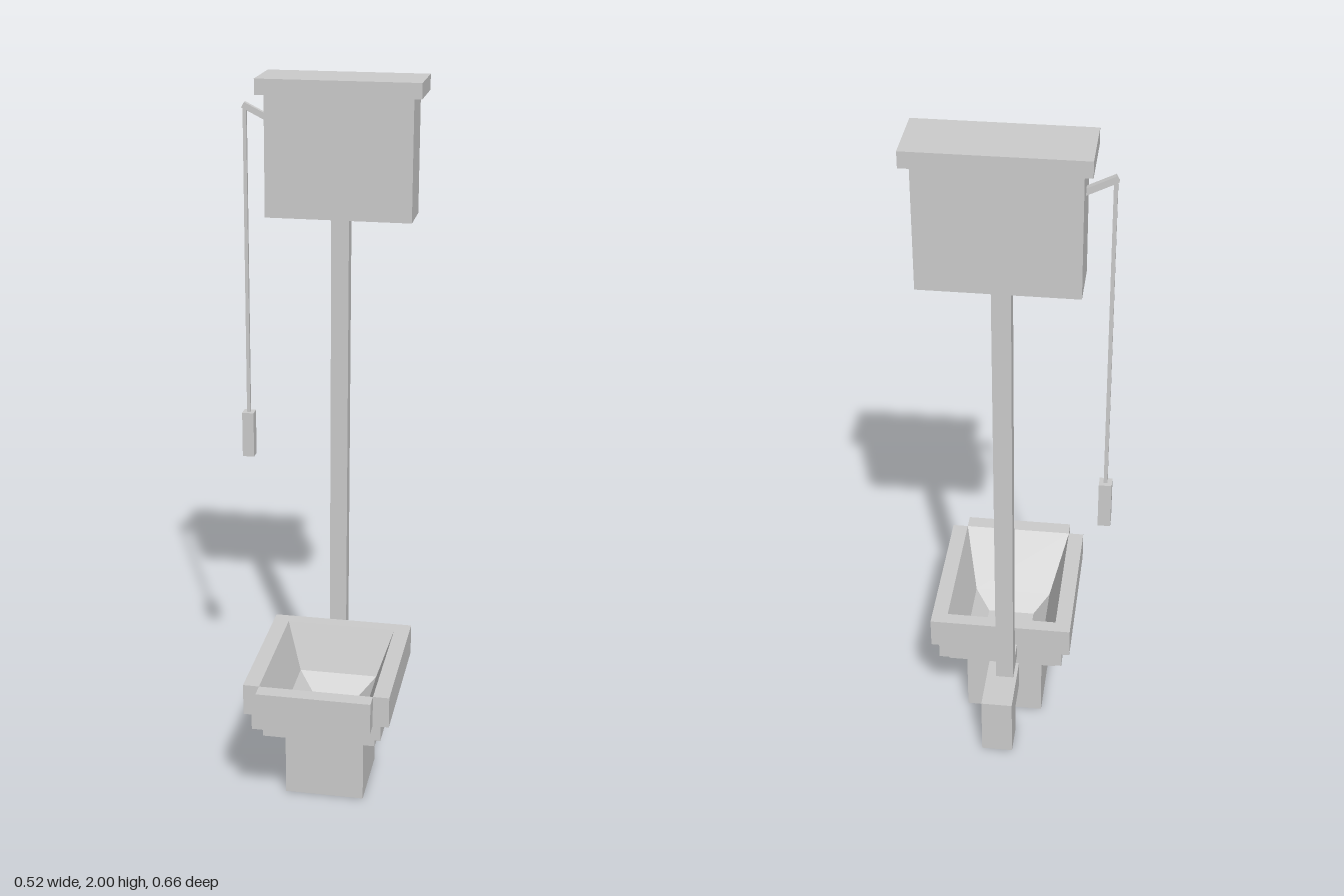
import * as THREE from 'three';

const material = new THREE.MeshStandardMaterial({ color: 0xcccccc, flatShading: true });

function add(group, name, geometry) {
  const mesh = new THREE.Mesh(geometry, material);
  mesh.name = name;
  group.add(mesh);
  return mesh;
}

// Box given by its extents on each axis
function box(group, name, [x0, x1], [y0, y1], [z0, z1]) {
  const mesh = add(group, name, new THREE.BoxGeometry(x1 - x0, y1 - y0, z1 - z0));
  mesh.position.set((x0 + x1) / 2, (y0 + y1) / 2, (z0 + z1) / 2);
  return mesh;
}

// Skin over a run of rectangles, each { w: half width, z: [back, front], y }, centred on x = cx
function loft(cx, rings, { capStart = false, capEnd = false } = {}) {
  const corners = rings.map(({ w, z, y }) => [
    [cx - w, y, z[0]], [cx - w, y, z[1]], [cx + w, y, z[1]], [cx + w, y, z[0]],
  ]);
  const pos = [];
  const quad = (a, b, c, d) => pos.push(...a, ...b, ...c, ...a, ...c, ...d);
  for (let r = 0; r < corners.length - 1; r++) {
    const a = corners[r], b = corners[r + 1];
    for (let i = 0; i < 4; i++) {
      const j = (i + 1) % 4;
      quad(a[i], a[j], b[j], b[i]);
    }
  }
  if (capStart) quad(...[...corners[0]].reverse());
  if (capEnd) quad(...corners[corners.length - 1]);
  const g = new THREE.BufferGeometry();
  g.setAttribute('position', new THREE.Float32BufferAttribute(pos, 3));
  g.computeVertexNormals();
  return g;
}

export function createModel() {
  const root = new THREE.Group();
  root.name = 'highTankToilet';

  // Bowl: pedestal, stepped outside, rim and sunken basin
  const bowl = new THREE.Group();
  bowl.name = 'bowl';
  root.add(bowl);
  const cx = 0.054;
  const neck = { w: 0.113, z: [-0.095, 0.17], y: 0.23 };
  const rimOuter = { w: 0.204, z: [-0.165, 0.285], y: 0.41 };
  const rimInner = { w: 0.159, z: [-0.127, 0.285], y: 0.41 };

  add(bowl, 'pedestal', loft(cx, [
    { w: 0.113, z: [-0.075, 0.15], y: 0 },
    { w: 0.113, z: [-0.075, 0.15], y: 0.21 },
    neck,
  ], { capStart: true }));

  const lower = { w: 0.159, z: [-0.122, 0.24] };
  const upper = { w: 0.181, z: [-0.165, 0.285] };
  add(bowl, 'bowlSteps', loft(cx, [
    neck,
    { ...lower, y: 0.23 }, { ...lower, y: 0.275 },
    { ...upper, y: 0.275 }, { ...upper, y: 0.32 },
  ]));
  add(bowl, 'rim', loft(cx, [
    { ...upper, y: 0.32 }, { ...rimOuter, y: 0.32 }, rimOuter, rimInner,
  ]));
  add(bowl, 'basin', loft(cx, [
    rimInner,
    { w: 0.114, z: [-0.081, 0.147], y: 0.275 },
    { w: 0.069, z: [-0.036, 0.102], y: 0.23 },
  ], { capEnd: true }));
  box(bowl, 'rimFront', [cx - 0.159, cx + 0.159], [0.32, 0.41], [0.285, 0.33]);

  // Waste pipe behind the pedestal
  const waste = new THREE.Group();
  waste.name = 'wastePipe';
  root.add(waste);
  const wasteX = [cx - 0.045, cx + 0.045];
  box(waste, 'wasteOutlet', wasteX, [0.095, 0.185], [-0.167, -0.075]);
  box(waste, 'wasteDrop', wasteX, [0, 0.185], [-0.257, -0.167]);

  // Flush pipe from tank to bowl
  const pipeX = [0.004, 0.054];
  box(root, 'flushPipe', pipeX, [0.302, 1.62], [-0.257, -0.215]);
  box(root, 'flushElbow', pipeX, [0.302, 0.345], [-0.215, -0.165]);

  // Raised tank with overhanging lid
  box(root, 'tank', [-0.174, 0.235], [1.62, 1.96], [-0.304, -0.168]);
  box(root, 'tankLid', [-0.196, 0.258], [1.957, 2], [-0.328, -0.15]);

  // Pull lever, chain and handle
  const pull = new THREE.Group();
  pull.name = 'pullChain';
  root.add(pull);
  const lever = new THREE.Shape([
    [-0.165, 1.866], [-0.165, 1.885], [-0.243, 1.924], [-0.251, 1.909],
  ].map(([x, y]) => new THREE.Vector2(x, y)));
  const arm = add(pull, 'lever', new THREE.ExtrudeGeometry(lever, { depth: 0.016, bevelEnabled: false }));
  arm.position.z = -0.248;
  box(pull, 'chain', [-0.248, -0.238], [1.02, 1.915], [-0.245, -0.235]);
  box(pull, 'handle', [-0.26, -0.226], [0.89, 1.025], [-0.257, -0.223]);

  return root;
}
